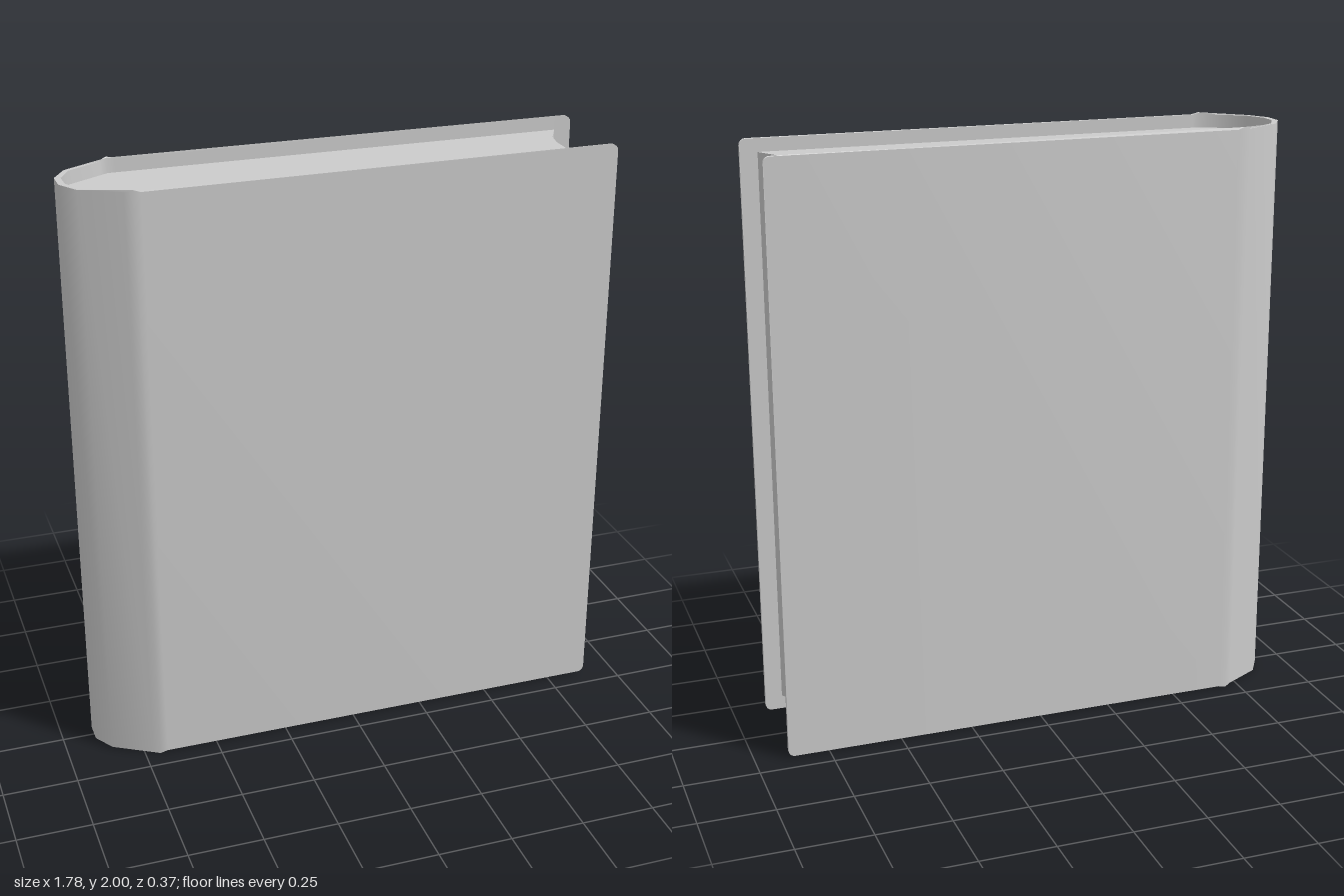
import * as THREE from 'three';
import { toCreasedNormals } from 'three/addons/utils/BufferGeometryUtils.js';

const material = new THREE.MeshStandardMaterial({ color: 0xcccccc });

// Closed outline from one half (z > 0), mirrored across z = 0, extruded upward.
function extrudeUp(points, bottom, top) {
  const shape = new THREE.Shape(points.map(([x, z]) => new THREE.Vector2(x, z)));
  const geometry = new THREE.ExtrudeGeometry(shape, { depth: top - bottom, bevelEnabled: false });
  geometry.rotateX(-Math.PI / 2);
  geometry.translate(0, bottom, 0);
  return geometry;
}
const mirrored = (half) => half.map(([x, z]) => [x, -z]).reverse();

function addMesh(group, name, geometry) {
  const mesh = new THREE.Mesh(toCreasedNormals(geometry, 0.6), material);
  mesh.name = name;
  group.add(mesh);
}

export function createModel() {
  const book = new THREE.Group();
  book.name = 'book';

  const edge = 0.89; // fore edge of the boards
  const radius = 0.022; // rounding of the board corners
  const hinge = -0.7; // where boards meet the spine
  const bottom = 0.006, top = 1.994;

  // Cover: one C-shaped section with boards and a faceted spine
  const corner = [0, 0.25, 0.5, 0.75, 1].map((t) => edge - radius + radius * Math.sin(t * Math.PI / 2));
  const outer = [
    ...corner.map((x) => [x, 0.185]).reverse(),
    [hinge + 0.025, 0.185], [hinge, 0.185], [hinge - 0.025, 0.172], [-0.85, 0.105], [-0.893, 0.035],
  ];
  const inner = [
    [-0.873, 0.03], [-0.838, 0.094], [hinge - 0.025, 0.16], [hinge, 0.173], [hinge + 0.025, 0.173],
    ...corner.map((x) => [x, 0.173]),
  ];
  const cover = extrudeUp([...outer, ...mirrored(outer), ...mirrored(inner), ...inner], bottom, top);

  // Round the board corners and raise a slight nub at each hinge
  const pos = cover.attributes.position;
  for (let i = 0; i < pos.count; i++) {
    const x = pos.getX(i), y = pos.getY(i);
    const dx = Math.max(0, x - (edge - radius));
    let inset = radius - Math.sqrt(Math.max(0, radius * radius - dx * dx));
    if (Math.abs(x - hinge) < 0.001) inset = -0.006;
    pos.setY(i, y + (y > 1 ? -inset : inset));
  }
  addMesh(book, 'cover', cover);

  // Page block: fills the cover, with a hollow fore edge
  const pages = [
    [0.777, 0.035], [0.79, 0.095], [0.832, 0.173],
    [hinge, 0.173], [-0.838, 0.094], [-0.873, 0.03],
  ];
  addMesh(book, 'pageBlock', extrudeUp([...pages, ...mirrored(pages)], 0.055, 1.95));

  return book;
}
